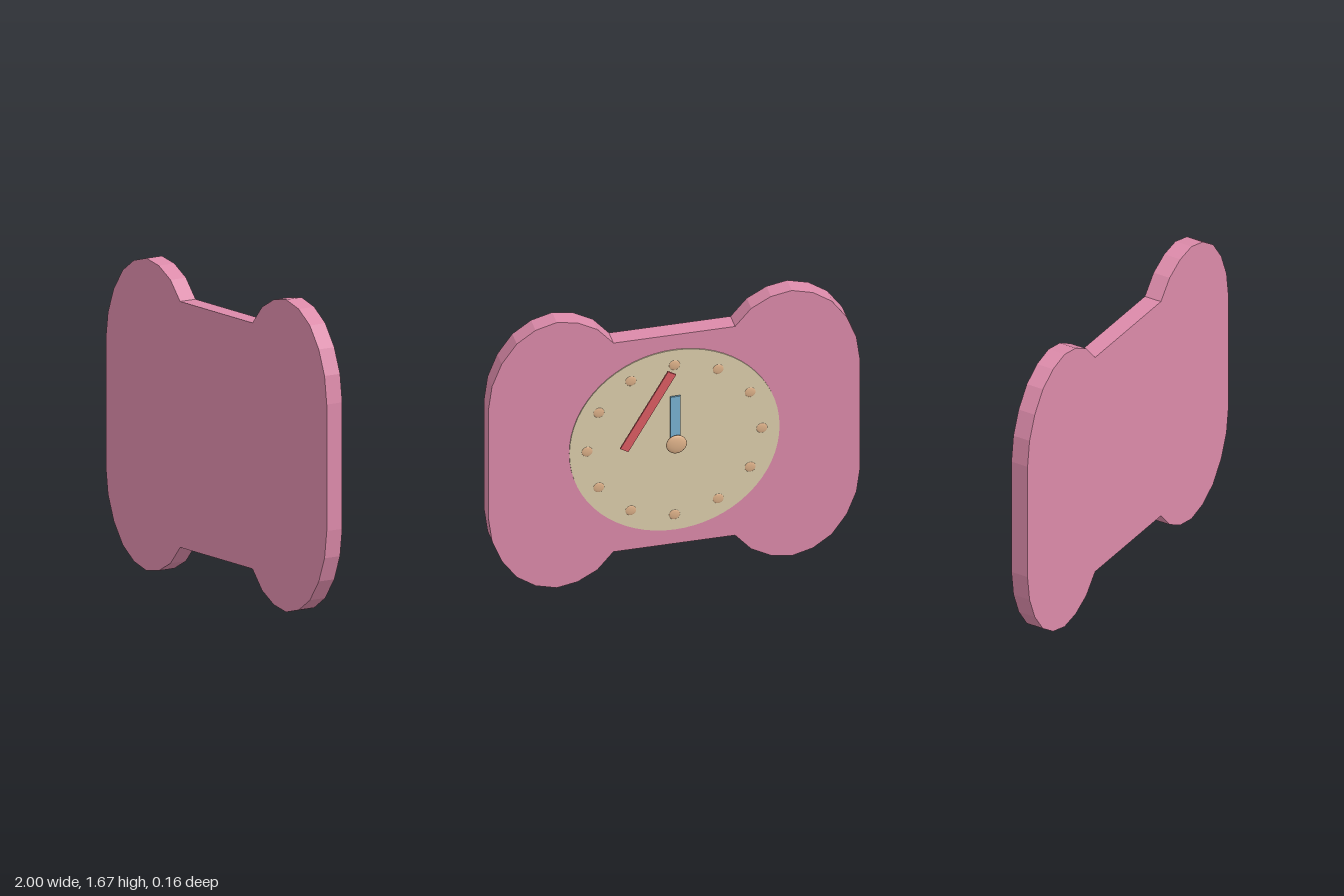
import * as THREE from 'three';

const mat = (name, color) => {
  const m = new THREE.MeshStandardMaterial({ color });
  m.name = name;
  return m;
};

export function createModel() {
  const group = new THREE.Group();
  const CY = 0.835; // height of the dial centre
  const pink = mat('pink', 0xdb8aa9);
  const cream = mat('cream', 0xdbcdab);
  const tan = mat('tan', 0xdcb088);
  const blue = mat('blue', 0x78b2d2);
  const red = mat('red', 0xdb5c62);

  const add = (name, geometry, material, x, y, z) => {
    const mesh = new THREE.Mesh(geometry, material);
    mesh.name = name;
    mesh.position.set(x, y, z);
    group.add(mesh);
    return mesh;
  };

  // Board: one rounded corner lobe, mirrored into all four quarters
  const lobe = [
    [0.327, 0.657], [0.414, 0.757], [0.52, 0.815], [0.632, 0.835], [0.746, 0.804],
    [0.847, 0.734], [0.928, 0.62], [0.98, 0.487], [1, 0.338],
  ];
  const quarter = (sx, sy) => {
    const pts = lobe.map(([x, y]) => new THREE.Vector2(x * sx, y * sy));
    return sx * sy > 0 ? pts.reverse() : pts;
  };
  const outline = [...quarter(1, 1), ...quarter(-1, 1), ...quarter(-1, -1), ...quarter(1, -1)];
  const board = new THREE.ExtrudeGeometry(new THREE.Shape(outline), { depth: 0.099, bevelEnabled: false });
  add('board', board, pink, 0, CY, -0.017);

  // Dial on the back
  const dial = new THREE.CylinderGeometry(0.565, 0.565, 0.012, 64).rotateX(Math.PI / 2);
  add('dial', dial, cream, 0, CY, -0.017);

  // Twelve domed hour markers
  const marker = new THREE.SphereGeometry(0.03, 20, 12).scale(1, 1, 0.2);
  for (let i = 0; i < 12; i++) {
    const a = (i * Math.PI) / 6;
    add('hourMarker' + (i + 1), marker, tan, 0.47 * Math.sin(a), CY + 0.47 * Math.cos(a), -0.022);
  }

  // Hands
  add('hourHand', new THREE.BoxGeometry(0.056, 0.3, 0.01), blue, 0, 0.97, -0.04);
  const minute = add('minuteHand', new THREE.BoxGeometry(0.05, 0.514, 0.01), red, 0.15, 1.057, -0.054);
  minute.rotation.z = Math.PI / 6;

  // Centre knob
  const knob = new THREE.SphereGeometry(0.056, 32, 20).scale(1, 1, 0.28);
  add('centreKnob', knob, tan, 0, CY, -0.066);

  return group;
}
